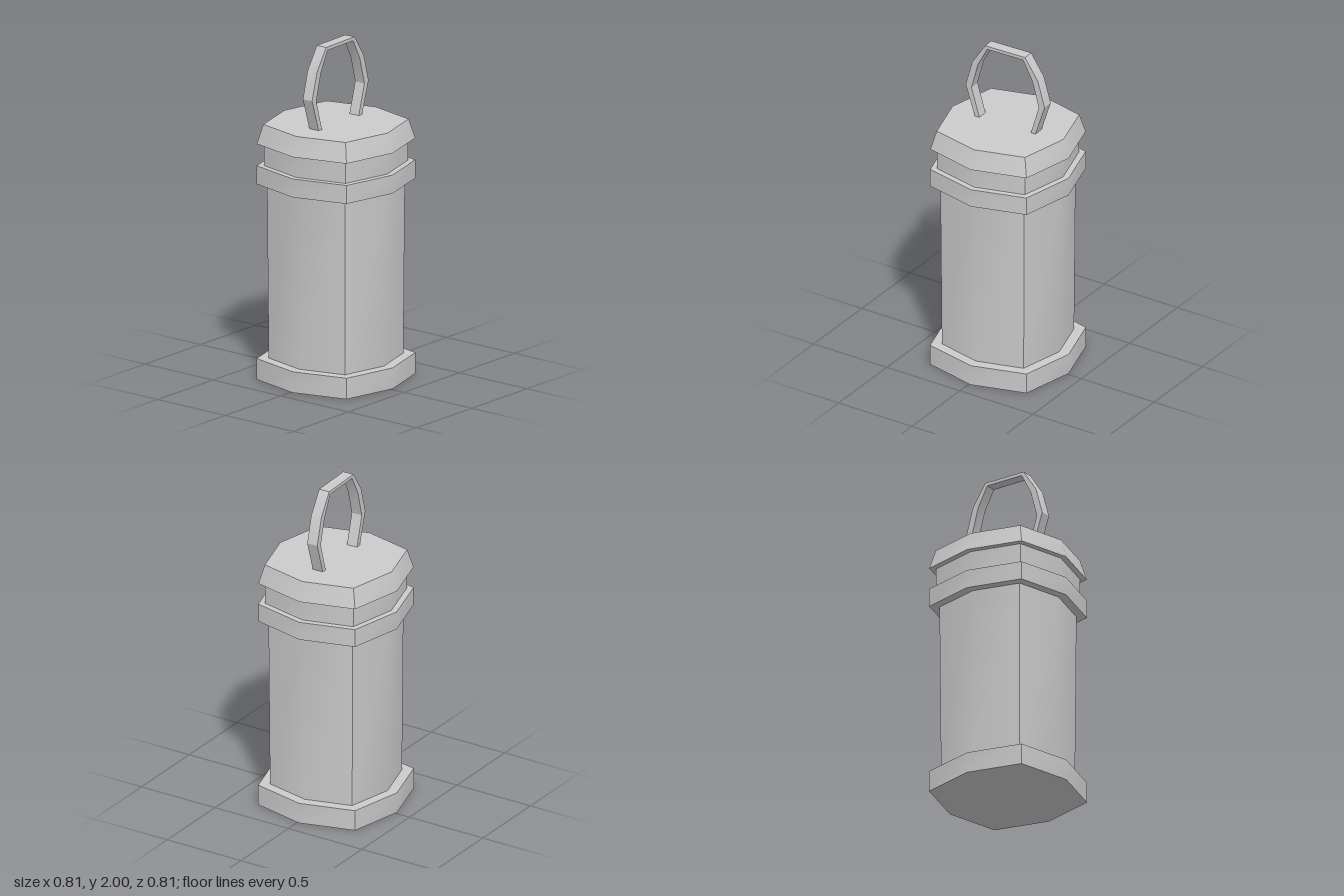
import * as THREE from 'three';
import { toCreasedNormals } from 'three/addons/utils/BufferGeometryUtils.js';

const material = new THREE.MeshStandardMaterial({ color: 0xcccccc });
const DIAGONAL = 1.125; // corner stretch that makes the octagon squarish

// Eight-sided tier with its four diagonal corners pushed outwards
function tier(name, bottomRadius, topRadius, y0, y1) {
  const geometry = new THREE.CylinderGeometry(topRadius, bottomRadius, y1 - y0, 8);
  const p = geometry.attributes.position;
  for (let i = 0; i < p.count; i++) {
    const x = p.getX(i), z = p.getZ(i);
    if (Math.abs(x) > 0.1 && Math.abs(z) > 0.1) {
      p.setX(i, x * DIAGONAL);
      p.setZ(i, z * DIAGONAL);
    }
  }
  geometry.translate(0, (y0 + y1) / 2, 0);
  const mesh = new THREE.Mesh(toCreasedNormals(geometry, 0.8), material);
  mesh.name = name;
  return mesh;
}

// Flat strap bent into a faceted loop, mirrored left to right
function handle() {
  const outer = [[0.197, 1.5], [0.265, 1.71], [0.22, 1.87], [0.134, 2]];
  const inner = [[0.12, 1.98], [0.183, 1.86], [0.226, 1.7], [0.167, 1.5]];
  const right = [...outer, ...inner];
  const mirror = (points) => points.map(([x, y]) => [-x, y]).reverse();
  const outline = [...outer, ...mirror(outer), ...mirror(inner), ...inner];
  const shape = new THREE.Shape(outline.map(([x, y]) => new THREE.Vector2(x, y)));
  const depth = 0.067;
  const geometry = new THREE.ExtrudeGeometry(shape, { depth, bevelEnabled: false });
  geometry.translate(0, 0, -depth / 2 - 0.002);
  const mesh = new THREE.Mesh(toCreasedNormals(geometry, 0.4), material);
  mesh.name = 'handle';
  return mesh;
}

export function createModel() {
  const canister = new THREE.Group();
  canister.name = 'canister';
  canister.add(
    tier('base', 0.407, 0.407, 0, 0.125),
    tier('body', 0.345, 0.353, 0.12, 1.17),
    tier('collar', 0.406, 0.406, 1.165, 1.275),
    tier('neck', 0.37, 0.37, 1.27, 1.41),
    tier('lid', 0.406, 0.372, 1.405, 1.52),
    handle()
  );
  // Slight twist about the vertical axis
  canister.rotation.y = 0.03;
  const model = new THREE.Group();
  model.add(canister);
  return model;
}
